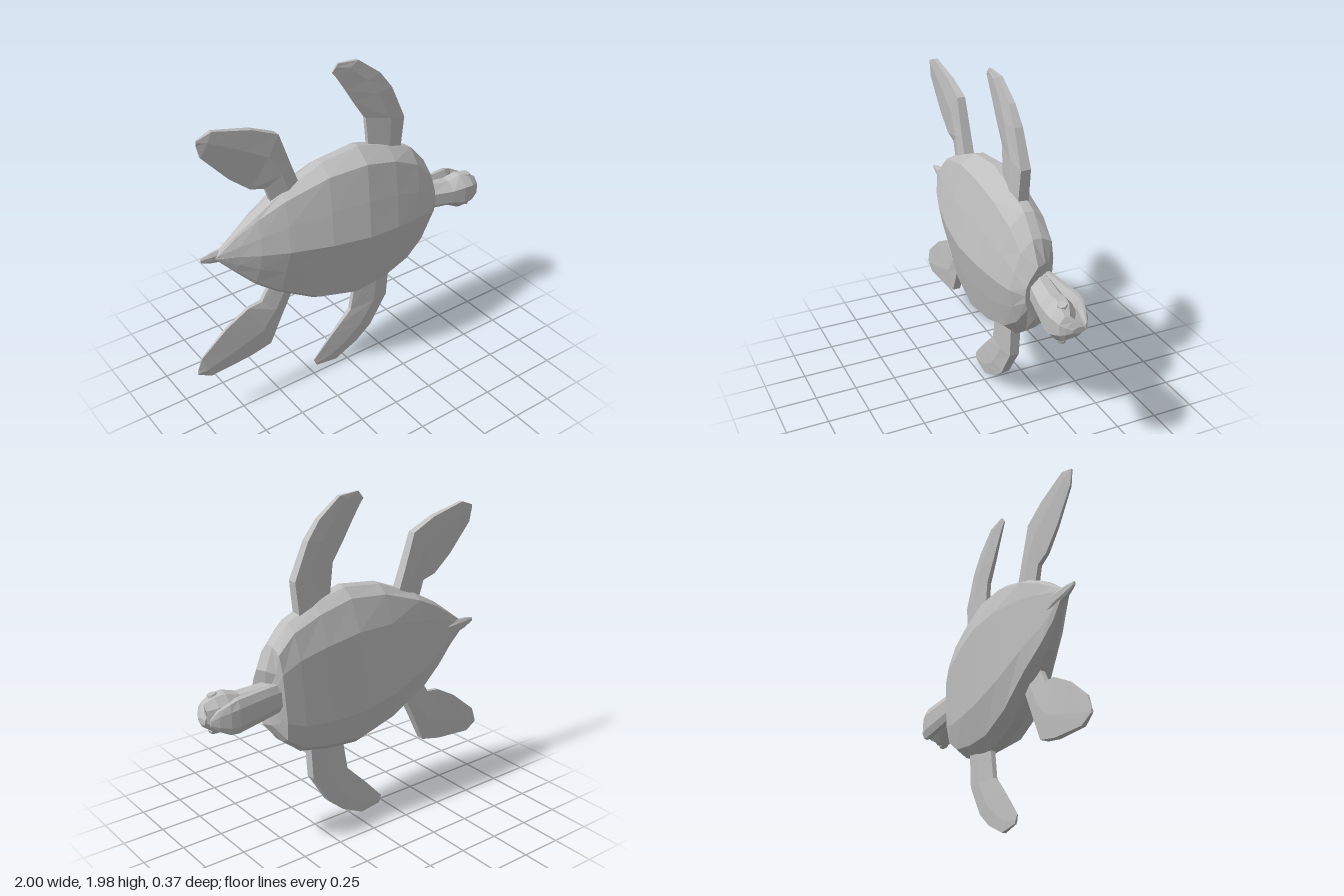
import * as THREE from 'three';

const skin = new THREE.MeshStandardMaterial({ color: 0xbfbfbf });
skin.name = 'plainGrey';

// Joins closed cross-sections into a capped, flat-faceted solid facing outwards
function loft(name, rings) {
  const tris = [];
  const n = rings[0].length;
  for (let i = 0; i < rings.length - 1; i++) {
    for (let j = 0; j < n; j++) {
      const k = (j + 1) % n;
      const a = rings[i][j], b = rings[i][k], c = rings[i + 1][k], d = rings[i + 1][j];
      tris.push([a, b, c], [a, c, d]);
    }
  }
  const cap = (ring, flip) => {
    const mid = [0, 1, 2].map((q) => ring.reduce((s, p) => s + p[q], 0) / n);
    ring.forEach((p, j) => {
      const r = ring[(j + 1) % n];
      tris.push(flip ? [mid, r, p] : [mid, p, r]);
    });
  };
  cap(rings[0], true);
  cap(rings[rings.length - 1], false);
  // Signed volume tells whether the corners run the wrong way round
  const V = (p) => new THREE.Vector3(...p);
  const volume = tris.reduce((s, [a, b, c]) => s + V(a).dot(V(b).cross(V(c))), 0);
  if (volume < 0) tris.forEach((t) => t.reverse());
  const geo = new THREE.BufferGeometry();
  geo.setAttribute('position', new THREE.Float32BufferAttribute(tris.flat(2), 3));
  geo.computeVertexNormals();
  const mesh = new THREE.Mesh(geo, skin);
  mesh.name = name;
  return mesh;
}

// Shell: keeled back towards +z, flat belly towards -z
function makeShell() {
  // along, half width, rim half width, keel z, rim z, belly z
  const stations = [
    [-0.73, 0.012, 0.008, -0.05, -0.06, -0.085],
    [-0.61, 0.12, 0.11, 0.0, -0.03, -0.095],
    [-0.5, 0.215, 0.195, 0.05, 0.0, -0.115],
    [-0.35, 0.315, 0.285, 0.1, 0.03, -0.148],
    [-0.1, 0.44, 0.385, 0.155, 0.07, -0.172],
    [0.14, 0.49, 0.417, 0.18, 0.09, -0.185],
    [0.35, 0.455, 0.385, 0.165, 0.08, -0.178],
    [0.53, 0.395, 0.315, 0.135, 0.065, -0.165],
    [0.64, 0.29, 0.22, 0.105, 0.05, -0.148],
    [0.72, 0.165, 0.09, 0.05, 0.03, -0.12],
  ];
  const rings = stations.map(([u, w, rim, keel, rimZ, belly], i) => {
    const back = i === stations.length - 1 ? 0.06 : 0; // belly stops short at the neck
    const half = [
      [u, rim * 0.5, keel * 0.45 + rimZ * 0.55 + 0.008],
      [u, rim, rimZ],
      [u, w, Math.min(rimZ - 0.01, -0.015)],
      [u - back * 0.4, w * 0.99, -0.07],
      [u - back, w * 0.88, Math.max(belly + 0.01, -0.13)],
      [u - back, w * 0.5, belly],
    ];
    const other = half.map(([x, y, z]) => [x, -y, z]).reverse();
    return [[u, 0, keel], ...half, [u - back, 0, belly], ...other];
  });
  const shell = loft('shell', rings);
  shell.rotation.z = -0.085;
  shell.position.set(-0.1, 1, 0);
  return shell;
}

// Flipper: thick leading edge, thinner trailing edge, tapering to the tip
function makeFlipper(name, lead, trail) {
  const zc = -0.045, last = lead.length - 1;
  return loft(name, lead.map((a, i) => {
    const b = trail[i];
    const taper = 1 - 0.85 * (i / last) ** 1.4;
    const at = (t, h) => [a[0] + (b[0] - a[0]) * t, a[1] + (b[1] - a[1]) * t, zc + h * taper];
    return [at(0, 0.03), at(0.4, 0.042), at(1, 0.014), at(1, -0.014), at(0.4, -0.036), at(0, -0.034)];
  }));
}

// Eight-sided sections along x: x, centre y, half width, low z, high z
function makeSpindle(name, stations) {
  return loft(name, stations.map(([x, y, w, lo, hi]) => {
    const h = hi - lo;
    return [
      [x, y - w * 0.45, hi - h * 0.04], [x, y + w * 0.45, hi - h * 0.04],
      [x, y + w, lo + h * 0.6], [x, y + w * 0.95, lo + h * 0.25],
      [x, y + w * 0.5, lo], [x, y - w * 0.5, lo],
      [x, y - w * 0.95, lo + h * 0.25], [x, y - w, lo + h * 0.6],
    ];
  }));
}

export function createModel() {
  const turtle = new THREE.Group();
  turtle.name = 'turtle';
  turtle.add(makeShell());

  // Flippers: leading outline, then trailing outline, root to tip
  turtle.add(makeFlipper('frontLeftFlipper',
    [[0.38, 1.3], [0.41, 1.56], [0.32, 1.765], [0.24, 1.87], [0.1, 1.975], [-0.03, 1.985]],
    [[0.18, 1.35], [0.15, 1.62], [0.07, 1.74], [0.02, 1.82], [-0.04, 1.91], [-0.067, 1.94]]));
  turtle.add(makeFlipper('frontRightFlipper',
    [[0.33, 0.65], [0.31, 0.36], [0.195, 0.17], [0.09, 0.08], [-0.06, 0.003], [-0.2, 0.016]],
    [[0.1, 0.62], [0.05, 0.34], [-0.03, 0.26], [-0.09, 0.2], [-0.16, 0.125], [-0.22, 0.06]]));
  turtle.add(makeFlipper('hindLeftFlipper',
    [[-0.28, 1.29], [-0.355, 1.5], [-0.42, 1.695], [-0.575, 1.765], [-0.8, 1.82], [-0.885, 1.79]],
    [[-0.46, 1.24], [-0.51, 1.395], [-0.6, 1.42], [-0.72, 1.52], [-0.87, 1.69], [-0.888, 1.765]]));
  turtle.add(makeFlipper('hindRightFlipper',
    [[-0.33, 0.77], [-0.44, 0.55], [-0.53, 0.36], [-0.67, 0.325], [-0.92, 0.3], [-1, 0.34]],
    [[-0.49, 0.8], [-0.57, 0.67], [-0.655, 0.66], [-0.8, 0.58], [-0.97, 0.44], [-0.998, 0.365]]));

  // Neck and upper head, ending in a hooked beak
  turtle.add(makeSpindle('neckAndHead', [
    [0.5, 0.95, 0.085, -0.12, 0.01],
    [0.62, 0.945, 0.085, -0.115, 0.025],
    [0.77, 0.932, 0.085, -0.11, 0.055],
    [0.85, 0.925, 0.115, -0.1, 0.068],
    [0.91, 0.925, 0.108, -0.085, 0.068],
    [0.965, 0.925, 0.07, -0.045, 0.042],
    [0.985, 0.92, 0.045, -0.085, 0.015],
    [1, 0.92, 0.018, -0.092, -0.02],
  ]));

  // Open lower jaw
  turtle.add(makeSpindle('lowerJaw', [
    [0.52, 0.95, 0.08, -0.13, -0.06],
    [0.62, 0.945, 0.09, -0.142, -0.07],
    [0.83, 0.93, 0.1, -0.166, -0.09],
    [0.88, 0.925, 0.09, -0.16, -0.112],
    [0.94, 0.925, 0.06, -0.14, -0.1],
    [0.98, 0.92, 0.02, -0.118, -0.105],
  ]));

  // Eyes, one on each side of the head
  for (const side of [1, -1]) {
    const eye = new THREE.Mesh(new THREE.CylinderGeometry(0.026, 0.03, 0.02, 7).toNonIndexed(), skin);
    eye.geometry.computeVertexNormals();
    eye.name = side > 0 ? 'leftEye' : 'rightEye';
    eye.position.set(0.905, 0.925 + side * 0.1, -0.008);
    eye.rotation.set(side > 0 ? 0.15 : Math.PI - 0.15, 0, -side * 0.2);
    turtle.add(eye);
  }

  // Tail, slipping out below the shell tip
  turtle.add(makeSpindle('tail', [
    [-0.62, 1.04, 0.06, -0.1, -0.03],
    [-0.75, 1.055, 0.045, -0.1, -0.045],
    [-0.85, 1.063, 0.03, -0.085, -0.05],
    [-0.91, 1.07, 0.012, -0.072, -0.058],
  ]));

  return turtle;
}
